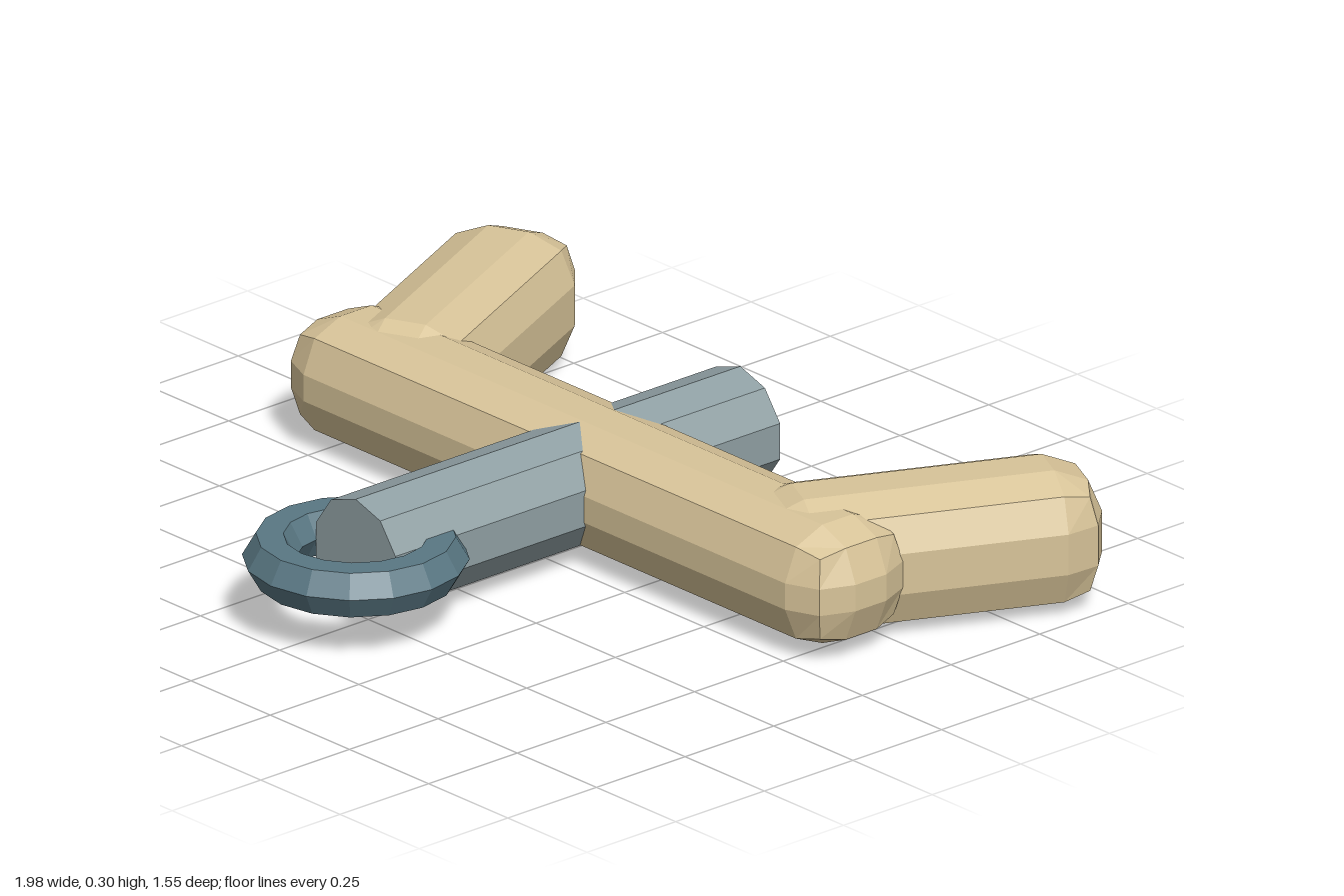
import * as THREE from 'three';
import { RoundedBoxGeometry } from 'three/addons/geometries/RoundedBoxGeometry.js';

const material = (color) => new THREE.MeshStandardMaterial({ color, flatShading: true });

// Box with two-step chamfered edges; the sizes are its finished outer sizes
function softBlock(w, h, d) {
  const radius = 0.105;
  const grow = 2 * radius * (1 - 3 / Math.sqrt(11));
  return new RoundedBoxGeometry(w + grow, h + grow, d + grow, 1, radius);
}

export function createModel() {
  const group = new THREE.Group();
  const wood = material(0xd8c499);
  const steel = material(0x90a0a4);
  const blueSteel = material(0x5a7884);

  const add = (name, geometry, mat, x, y, z) => {
    const mesh = new THREE.Mesh(geometry, mat);
    mesh.name = name;
    mesh.position.set(x, y, z);
    group.add(mesh);
    return mesh;
  };

  // Ten-sided rod running front to back
  const rod = add('rod', new THREE.CylinderGeometry(0.132, 0.132, 1.085, 10), steel, 0, 0.143, -0.007);
  rod.rotation.x = Math.PI / 2;

  // Flat-lying ring around the front end of the rod
  const ring = add('ring', new THREE.TorusGeometry(0.182, 0.058, 6, 16), blueSteel, 0, 0.144, 0.535);
  ring.rotation.x = Math.PI / 2;

  // Crossbar through the rod
  add('crossbar', softBlock(1.71, 0.25, 0.277), wood, 0, 0.142, -0.145);

  // Splayed arms reaching backwards from the crossbar ends
  for (const side of [1, -1]) {
    const arm = add(side > 0 ? 'leftArm' : 'rightArm', softBlock(0.283, 0.282, 0.74), wood, side * 0.735, 0.142, -0.407);
    arm.rotation.y = -side * THREE.MathUtils.degToRad(25);
  }

  return group;
}
